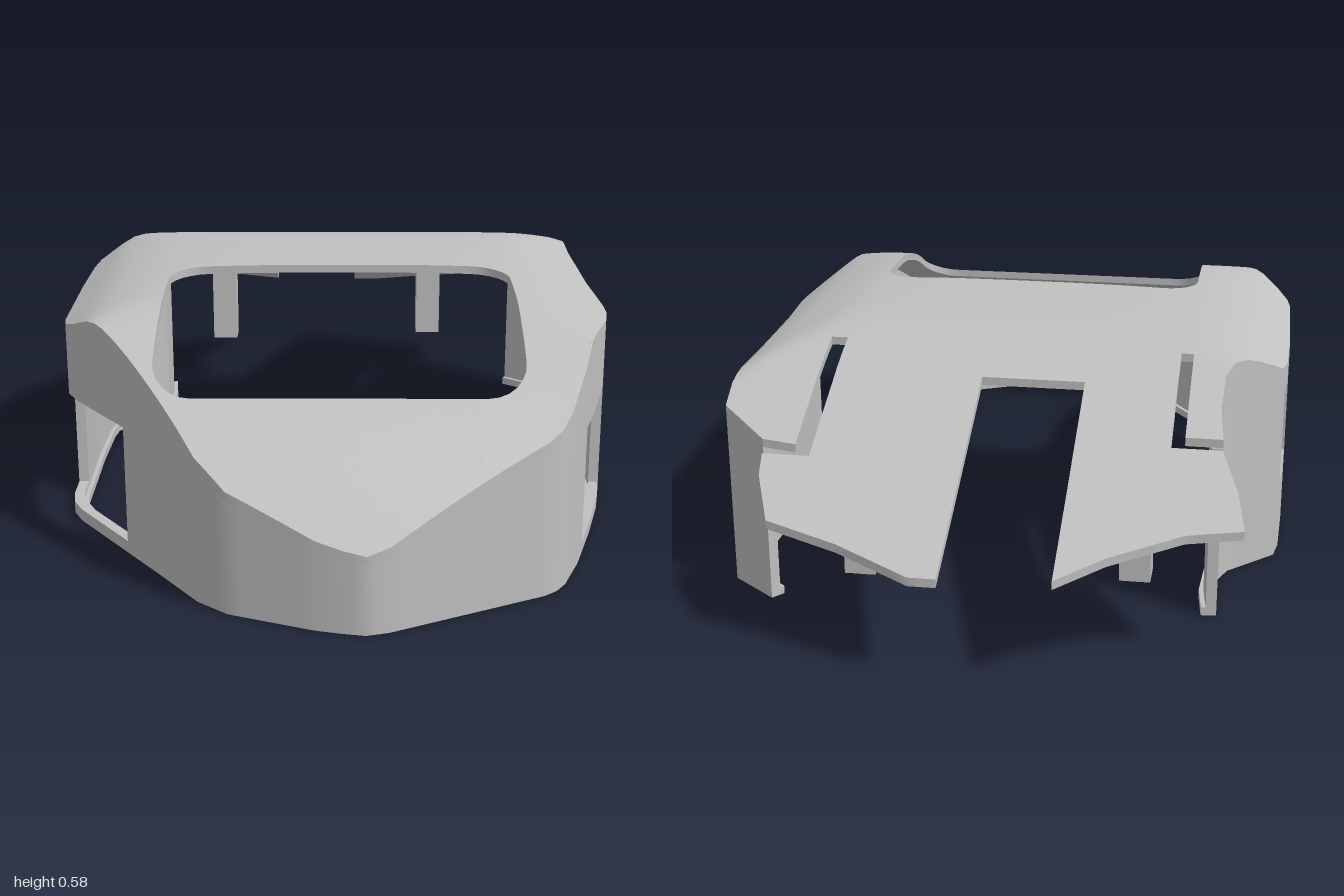
import * as THREE from 'three';
import { toCreasedNormals } from 'three/addons/utils/BufferGeometryUtils.js';

const ROOF = 0.02, WALL = 0.025, LIP = 0.036;

// Smooth interpolation through [position, height] pairs
function curve(pts) {
  const n = pts.length;
  const slope = i => {
    const a = pts[Math.max(i - 1, 0)], b = pts[Math.min(i + 1, n - 1)];
    return (b[1] - a[1]) / (b[0] - a[0]);
  };
  return t => {
    let i = 0;
    while (i < n - 2 && t > pts[i + 1][0]) i++;
    const [x0, y0] = pts[i], [x1, y1] = pts[i + 1], d = x1 - x0;
    const u = Math.min(Math.max((t - x0) / d, 0), 1), v = 1 - u;
    return y0 * v * v * (1 + 2 * u) + slope(i) * d * u * v * v
      + y1 * u * u * (3 - 2 * u) - slope(i + 1) * d * u * u * v;
  };
}
const lengthwise = curve([[-1, 0.25], [-0.8, 0.34], [-0.66, 0.405], [-0.5, 0.48], [-0.4, 0.525], [-0.3, 0.557],
  [-0.2, 0.573], [0, 0.582], [0.35, 0.573], [0.5, 0.538], [0.6, 0.5], [0.7, 0.443], [0.8, 0.375], [0.9, 0.287], [1, 0.182]]);
const crosswise = curve([[-0.665, 0.485], [-0.56, 0.542], [-0.4, 0.572], [0, 0.585], [0.4, 0.572], [0.58, 0.525], [0.665, 0.48]]);

// Roof height: the lower of the two profiles, with a softened seam
function height(x, z) {
  const a = lengthwise(z), b = crosswise(x), k = 0.02;
  const s = Math.max(k - Math.abs(a - b), 0);
  return Math.min(a, b) - s * s / (4 * k);
}

// Plan outline [x, z]: the walled part, then the rear flaps and slots
const wallPath = [[0.52, -0.66], [0.635, -0.57], [0.64, -0.5], [0.635, -0.3], [0.645, -0.02], [0.663, 0.15], [0.663, 0.22],
  [0.645, 0.32], [0.606, 0.47], [0.556, 0.64], [0.513, 0.75], [0.49, 0.785], [0.46, 0.81], [0.11, 0.985], [0.06, 0.999],
  [0.01, 0.99], [-0.05, 0.975], [-0.24, 0.9], [-0.31, 0.84], [-0.41, 0.7], [-0.63, 0.4], [-0.655, 0.35], [-0.663, 0.3],
  [-0.665, 0], [-0.66, -0.18], [-0.65, -0.24], [-0.54, -0.35], [-0.52, -0.4], [-0.515, -0.5], [-0.525, -0.59]];
const rearPath = [[-0.44, -0.59], [-0.44, -0.33], [-0.41, -0.33], [-0.41, -0.62], [-0.525, -0.62], [-0.565, -0.73],
  [-0.585, -0.83], [-0.46, -0.85], [-0.3, -0.92], [-0.195, -0.985], [-0.195, -0.445], [0.048, -0.445], [0.048, -1], [0.11, -1],
  [0.28, -0.93], [0.45, -0.88], [0.5, -0.76], [0.51, -0.7], [0.4, -0.7], [0.4, -0.33], [0.44, -0.33], [0.44, -0.67]];

// Rounded roof opening
function openingPath() {
  const out = [], r = 0.09;
  [[0.422, 0.717], [-0.416, 0.717], [-0.416, 0.128], [0.422, 0.128]].forEach(([x, z], c) => {
    const cx = x - Math.sign(x) * r, cz = z + (z > 0.4 ? -r : r);
    for (let i = 0; i <= 6; i++) {
      const a = (c + i / 6) * Math.PI / 2;
      out.push([cx + r * Math.cos(a), cz + r * Math.sin(a)]);
    }
  });
  return out;
}

// Split a path into short steps, also at given z cuts
function resample(path, closed, cuts = []) {
  const out = [];
  const last = closed ? path.length : path.length - 1;
  for (let i = 0; i < last; i++) {
    const a = path[i], b = path[(i + 1) % path.length];
    const n = Math.ceil(Math.hypot(b[0] - a[0], b[1] - a[1]) / 0.04);
    const ts = [];
    for (let j = 0; j < n; j++) ts.push(j / n);
    for (const c of cuts) {
      const t = (c - a[1]) / (b[1] - a[1]);
      if (t > 0 && t < 1 && ts.every(s => Math.abs(s - t) > 1e-4)) ts.push(t);
    }
    ts.sort((p, q) => p - q).forEach(t => out.push([a[0] + (b[0] - a[0]) * t, a[1] + (b[1] - a[1]) * t]));
  }
  if (!closed) out.push(path[path.length - 1]);
  return out;
}

// Collects triangles and makes a geometry that keeps sharp edges
function builder() {
  const pos = [];
  const tri = (a, b, c) => pos.push(...a, ...b, ...c);
  return {
    tri,
    quad(a, b, c, d) { tri(a, b, c); tri(a, c, d); },
    geometry() {
      const g = new THREE.BufferGeometry();
      g.setAttribute('position', new THREE.Float32BufferAttribute(pos, 3));
      return toCreasedNormals(g, 0.5);
    },
  };
}

function roofGeometry() {
  const b = builder();
  const outer = resample([...wallPath, ...rearPath], true), hole = resample(openingPath(), true);
  const vec = p => new THREE.Vector2(p[0], p[1]);
  const all = [...outer, ...hole];
  const faces = THREE.ShapeUtils.triangulateShape(outer.map(vec), [hole.map(vec)]);
  const top = p => [p[0], height(p[0], p[1]), p[1]];
  const low = p => [p[0], height(p[0], p[1]) - ROOF, p[1]];
  const area = (p, q, r) => (q[0] - p[0]) * (r[1] - p[1]) - (q[1] - p[1]) * (r[0] - p[0]);

  // Halve the longest edge until the skin follows the curve, leaving out slivers
  function skin(p, q, r) {
    const d = (u, v) => Math.hypot(u[0] - v[0], u[1] - v[1]);
    const pq = d(p, q), qr = d(q, r), rp = d(r, p), m = Math.max(pq, qr, rp);
    if (m <= 0.05) {
      if (area(p, q, r) > -1e-7) return;
      b.tri(top(p), top(q), top(r));
      b.tri(low(p), low(r), low(q));
      return;
    }
    const [s, t, u] = m === pq ? [p, q, r] : m === qr ? [q, r, p] : [r, p, q];
    const h = [(s[0] + t[0]) / 2, (s[1] + t[1]) / 2];
    skin(s, h, u);
    skin(h, t, u);
  }
  for (const f of faces) {
    const [p, q, r] = f.map(i => all[i]);
    if (area(p, q, r) < 0) skin(p, q, r); else skin(p, r, q);
  }
  // Rims of the outline and the opening
  const rim = pts => pts.forEach((p, i) => {
    const q = pts[(i + 1) % pts.length];
    b.quad(low(p), top(p), top(q), low(q));
  });
  rim(outer);
  rim(hole.reverse());
  return b.geometry();
}

function wallGeometry() {
  const b = builder();
  const cuts = [0.22, 0.585, -0.2, 0];
  const pts = resample(wallPath, false, cuts);
  // Inner line, offset along the averaged normal, or straight across at window jambs
  const offset = dist => pts.map((p, i) => {
    const a = pts[Math.max(i - 1, 0)], c = pts[Math.min(i + 1, pts.length - 1)];
    const dx = c[0] - a[0], dz = c[1] - a[1], l = Math.hypot(dx, dz);
    if (cuts.some(z => Math.abs(z - p[1]) < 1e-6)) return [p[0] - dist * l / dz, p[1]];
    return [p[0] - dz / l * dist, p[1] + dx / l * dist];
  });
  const inner = offset(WALL), lip = offset(LIP);
  for (let i = 0; i < pts.length - 1; i++) {
    // One wall block from y0 to y1, or up to the roof
    const block = (y0, y1, line = inner) => {
      const edge = ([x, z]) => [[x, y0, z], [x, y1 ?? height(x, z) - ROOF, z]];
      const [oa0, oa1] = edge(pts[i]), [ob0, ob1] = edge(pts[i + 1]);
      const [ia0, ia1] = edge(line[i]), [ib0, ib1] = edge(line[i + 1]);
      b.quad(oa0, oa1, ob1, ob0);
      b.quad(ib0, ib1, ia1, ia0);
      b.quad(oa1, ia1, ib1, ob1);
      b.quad(ob0, ib0, ia0, oa0);
      b.quad(oa0, ia0, ia1, oa1);
      b.quad(ob1, ib1, ib0, ob0);
    };
    // Bottom lip, then a large window on both sides and a small one on the right only
    block(0, 0.02, lip);
    const x = (pts[i][0] + pts[i + 1][0]) / 2, z = (pts[i][1] + pts[i + 1][1]) / 2;
    let gap = null;
    if (z > 0.22 && z < 0.585) gap = [0.03, 0.315];
    else if (x < -0.6 && z > -0.2 && z < 0) gap = [0.19, 0.42];
    if (gap) { block(0.02, gap[0]); block(gap[1]); } else block(0.02);
  }
  return b.geometry();
}

// Square peg hanging from a rear flap
function pegGeometry(x, z) {
  const g = new THREE.BoxGeometry(0.07, 1, 0.07).translate(x, 0, z);
  const p = g.attributes.position;
  for (let i = 0; i < p.count; i++) p.setY(i, p.getY(i) < 0 ? 0.14 : height(p.getX(i), p.getZ(i)) - ROOF * 0.8);
  g.computeVertexNormals();
  return g;
}

export function createModel() {
  const group = new THREE.Group();
  group.name = 'shellCover';
  const grey = new THREE.MeshStandardMaterial({ color: 0xc0c0c0 });
  grey.name = 'grey plastic';
  const add = (name, geometry) => {
    const mesh = new THREE.Mesh(geometry, grey);
    mesh.name = name;
    group.add(mesh);
  };
  add('roof', roofGeometry());
  add('sideWall', wallGeometry());
  add('leftPeg', pegGeometry(0.27, -0.745));
  add('rightPeg', pegGeometry(-0.345, -0.69));
  return group;
}
